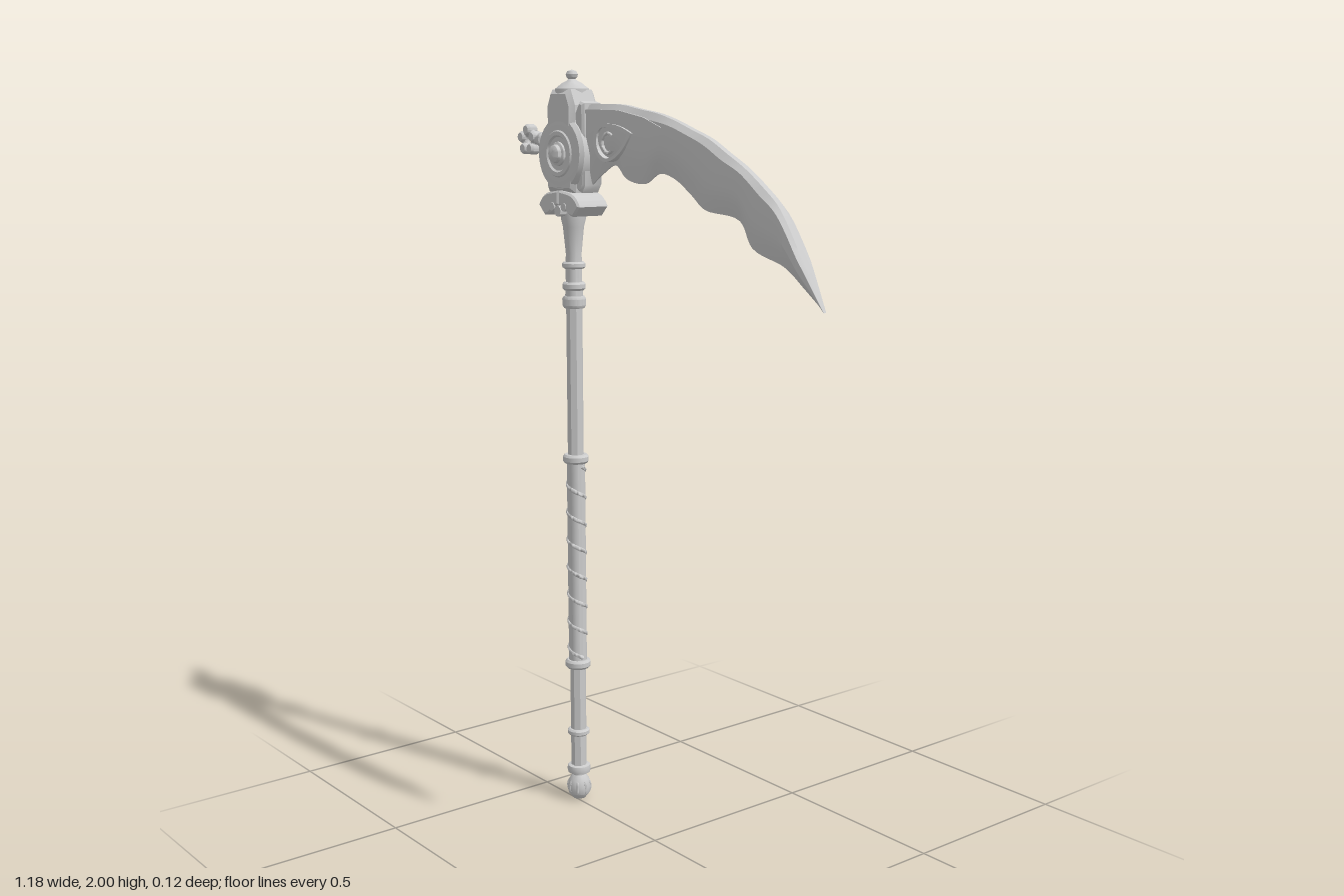
import * as THREE from 'three';
import { toCreasedNormals } from 'three/addons/utils/BufferGeometryUtils.js';

const AXIS_X = -0.355, AXIS_Z = -0.01;

export function createModel() {
  const model = new THREE.Group();
  model.name = 'scythe';
  const steel = new THREE.MeshStandardMaterial({ color: 0xcccccc });
  steel.name = 'light grey steel';

  // All parts sit in a frame centred on the shaft axis
  const add = (name, geo, x = 0, y = 0, z = 0, crease = 0.6) => {
    const mesh = new THREE.Mesh(toCreasedNormals(geo, crease), steel);
    mesh.name = name;
    mesh.position.set(AXIS_X + x, y, AXIS_Z + z);
    model.add(mesh);
    return mesh;
  };
  const lathe = (pts, seg = 16) => new THREE.LatheGeometry(pts.map(p => new THREE.Vector2(p[0], p[1])), seg);
  const shapeOf = pts => new THREE.Shape(pts.map(p => new THREE.Vector2(p[0], p[1])));
  // Extrusion centred on z, with an optional chamfer inside the total depth
  const slab = (shape, depth, bevel = 0) => {
    const g = new THREE.ExtrudeGeometry(shape, {
      depth: depth - 2 * bevel, bevelEnabled: bevel > 0, bevelThickness: bevel,
      bevelSize: bevel, bevelOffset: -bevel, bevelSegments: 1, curveSegments: 16,
    });
    return g.translate(0, 0, -(depth - 2 * bevel) / 2);
  };
  // Lathe turned so that its axis points along z
  const turned = (pts, seg = 32) => lathe(pts, seg).rotateX(Math.PI / 2);

  // Pommel with ribs
  add('pommel', lathe([[0, 0], [0.018, 0.003], [0.03, 0.018], [0.033, 0.038], [0.028, 0.058], [0.018, 0.072],
    [0.018, 0.078], [0.031, 0.08], [0.033, 0.09], [0.031, 0.1], [0.018, 0.103]]));
  for (let i = 0; i < 4; i++) {
    const rib = add('pommelRib', new THREE.TorusGeometry(0.031, 0.004, 6, 24), 0, 0.037);
    rib.rotation.y = i * Math.PI / 4;
  }

  // Shaft sections, the bare ones faceted
  const facet = Math.PI / 8;
  add('lowerShaft', new THREE.CylinderGeometry(0.022, 0.022, 0.32, 8).rotateY(facet), 0, 0.25, 0, 0.3);
  add('grip', new THREE.CylinderGeometry(0.025, 0.025, 0.58, 16), 0, 0.69);
  add('upperShaft', new THREE.CylinderGeometry(0.022, 0.022, 0.44, 8).rotateY(facet), 0, 1.19, 0, 0.3);

  // Spiral binding round the grip
  const helix = [];
  for (let i = 0; i <= 140; i++) {
    const a = i / 140 * Math.PI * 14;
    helix.push(new THREE.Vector3(0.022 * Math.cos(a), 0.42 + 0.54 * i / 140, 0.022 * Math.sin(a)));
  }
  add('gripBinding', new THREE.TubeGeometry(new THREE.CatmullRomCurve3(helix), 280, 0.0065, 6), 0, 0, 0, 1.2);

  // Rings
  const ring = (y, r, h) => add('shaftRing', lathe([[0.015, -h], [r - 0.005, -h], [r, -h * 0.5], [r, h * 0.5], [r - 0.005, h], [0.015, h]]), 0, y);
  for (const [y, r, h] of [[0.2, 0.031, 0.009], [0.4, 0.035, 0.012], [0.98, 0.035, 0.012], [1.403, 0.032, 0.016], [1.445, 0.031, 0.011], [1.5, 0.031, 0.009]])
    ring(y, r, h);

  // Flared neck below the head
  add('neck', lathe([[0.022, 1.4], [0.024, 1.42], [0.022, 1.45], [0.022, 1.5], [0.021, 1.53], [0.028, 1.6], [0.033, 1.62], [0.033, 1.66], [0, 1.66]]));

  // Drooping winged collar
  for (const s of [-1, 1]) {
    const wing = new THREE.Shape();
    wing.moveTo(0, 1.695);
    wing.lineTo(0.04 * s, 1.69);
    wing.quadraticCurveTo(0.075 * s, 1.685, 0.09 * s, 1.655);
    wing.lineTo(0.065 * s, 1.63);
    wing.quadraticCurveTo(0.045 * s, 1.628, 0.025 * s, 1.65);
    wing.lineTo(0, 1.658);
    add('collarWing', slab(wing, 0.098, 0.005));
    add('collarCurl', new THREE.CylinderGeometry(0.011, 0.011, 0.102, 12).rotateX(Math.PI / 2), 0.026 * s, 1.653);
  }
  add('collarKnot', new THREE.CylinderGeometry(0.014, 0.014, 0.102, 12).rotateX(Math.PI / 2), 0, 1.642);

  // Head housing with chamfered shoulders
  const housing = shapeOf([[-0.058, 1.69], [0.058, 1.69], [0.066, 1.74], [0.058, 1.8], [0.058, 1.91], [0.04, 1.95], [-0.04, 1.95], [-0.058, 1.91], [-0.058, 1.8], [-0.066, 1.74]]);
  add('housing', slab(housing, 0.09, 0.012), 0, 0, 0, 0.3);

  // Cap and finial
  add('finial', lathe([[0.044, 1.94], [0.044, 1.952], [0.036, 1.958], [0.026, 1.966], [0.014, 1.972], [0.009, 1.976],
    [0.014, 1.981], [0.016, 1.988], [0.012, 1.996], [0, 2]]));

  // Round hub: stepped front with boss, flat back with a raised rim
  add('hub', turned([[0, -0.045], [0.058, -0.045], [0.06, -0.05], [0.074, -0.05], [0.088, -0.044], [0.098, -0.034], [0.098, 0.034],
    [0.09, 0.044], [0.074, 0.046], [0.06, 0.046], [0.057, 0.05], [0.047, 0.05], [0.043, 0.045], [0, 0.045]]), 0, 1.788, 0, 0.45);
  add('hubBoss', turned([[0.032, 0.04], [0.03, 0.05], [0.024, 0.053], [0.022, 0.062], [0.013, 0.068], [0, 0.07]], 24), 0, 1.788);

  // Blade socket
  add('bladeSocket', slab(shapeOf([[0.05, 1.7], [0.075, 1.69], [0.088, 1.71], [0.088, 1.915], [0.07, 1.92], [0.05, 1.89]]), 0.062, 0.006));

  // Side arm and flower-shaped end
  const arm = lathe([[0.024, 0], [0.024, 0.012], [0.017, 0.018], [0.014, 0.05], [0.02, 0.056], [0.02, 0.066], [0.014, 0.072], [0.012, 0.1]]).rotateZ(Math.PI / 2);
  add('sideArm', arm, -0.072, 1.822);
  const FX = -0.193, FY = 1.82;
  add('flowerRing', new THREE.TorusGeometry(0.021, 0.011, 8, 20), FX, FY, 0, 1.2);
  for (let i = 0; i < 5; i++) {
    const a = Math.PI / 2 + i * Math.PI * 0.4;
    const petal = turned([[0, -0.017], [0.011, -0.016], [0.0155, -0.009], [0.0155, 0.009], [0.011, 0.016], [0, 0.017]], 16);
    add('flowerPetal', petal, FX + 0.027 * Math.cos(a), FY + 0.027 * Math.sin(a));
  }

  // Blade: paired points on the back and on the scalloped cutting edge
  const back = [[-.278, 1.912], [-.204, 1.913], [-.13, 1.91], [-.066, 1.9], [.008, 1.889], [.071, 1.873], [.135, 1.852],
    [.198, 1.831], [.262, 1.799], [.325, 1.767], [.389, 1.725], [.442, 1.683], [.516, 1.577], [.586, 1.46]];
  const edge = [[-.278, 1.704], [-.22, 1.741], [-.167, 1.762], [-.124, 1.73], [-.05, 1.72], [.008, 1.746], [.066, 1.735],
    [.13, 1.698], [.177, 1.667], [.304, 1.646], [.347, 1.587], [.458, 1.55], [.521, 1.508], [.586, 1.46]];
  const spline = pts => new THREE.CatmullRomCurve3(pts.map(p => new THREE.Vector3(p[0], p[1], 0)));
  const backCurve = spline(back), edgeCurve = spline(edge);
  const section = [[0, 0.008], [0.1, 0.021], [0.5, 0.021], [0.75, 0.014], [1, 0.002], [1, -0.002], [0.75, -0.014], [0.5, -0.021], [0.1, -0.021], [0, -0.008]];
  const N = 78, M = section.length, pos = [], idx = [];
  for (let i = 0; i <= N; i++) {
    const t = i / N, a = backCurve.getPoint(t), b = edgeCurve.getPoint(t);
    const k = Math.min(1, 0.2 + (1 - t) / 0.1);
    for (const [f, h] of section) {
      const p = a.clone().lerp(b, f);
      pos.push(p.x, p.y, h * k);
    }
  }
  for (let i = 0; i < N; i++) for (let j = 0; j < M; j++) {
    const a = i * M + j, b = i * M + (j + 1) % M;
    idx.push(a, b, a + M, b, b + M, a + M);
  }
  const bladeGeo = new THREE.BufferGeometry();
  bladeGeo.setAttribute('position', new THREE.Float32BufferAttribute(pos, 3));
  bladeGeo.setIndex(idx);
  add('blade', bladeGeo, -AXIS_X, 0, 0, 0.3);

  // Raised teardrop emblem and spine strip on both blade faces
  const teardrop = (k, path) => {
    path.moveTo(0.085 * k, 0.022 * k);
    path.quadraticCurveTo(0.02 * k, 0.052 * k, -0.045 * k, 0.042 * k);
    path.bezierCurveTo(-0.085 * k, 0.025 * k, -0.075 * k, -0.045 * k, -0.02 * k, -0.05 * k);
    path.quadraticCurveTo(0.04 * k, -0.045 * k, 0.085 * k, 0.022 * k);
    return path;
  };
  const frame = teardrop(1, new THREE.Shape());
  frame.holes.push(teardrop(0.82, new THREE.Path()));
  const strip = shapeOf([[-0.27, 1.9], [-0.27, 1.889], [-0.13, 1.886], [-0.03, 1.872], [0.04, 1.856], [-0.03, 1.88], [-0.13, 1.897]]);
  for (const s of [-1, 1]) {
    add('emblemFrame', slab(frame, 0.026), 0.195, 1.82, s * 0.014);
    const curl = new THREE.TorusGeometry(0.024, 0.005, 6, 24, Math.PI * 1.5);
    add('emblemCurl', curl, 0.18, 1.817, s * 0.02, 1.2).rotation.z = 0.8;
    add('spineStrip', slab(strip, 0.008), -AXIS_X, 0, s * 0.02);
  }
  return model;
}
